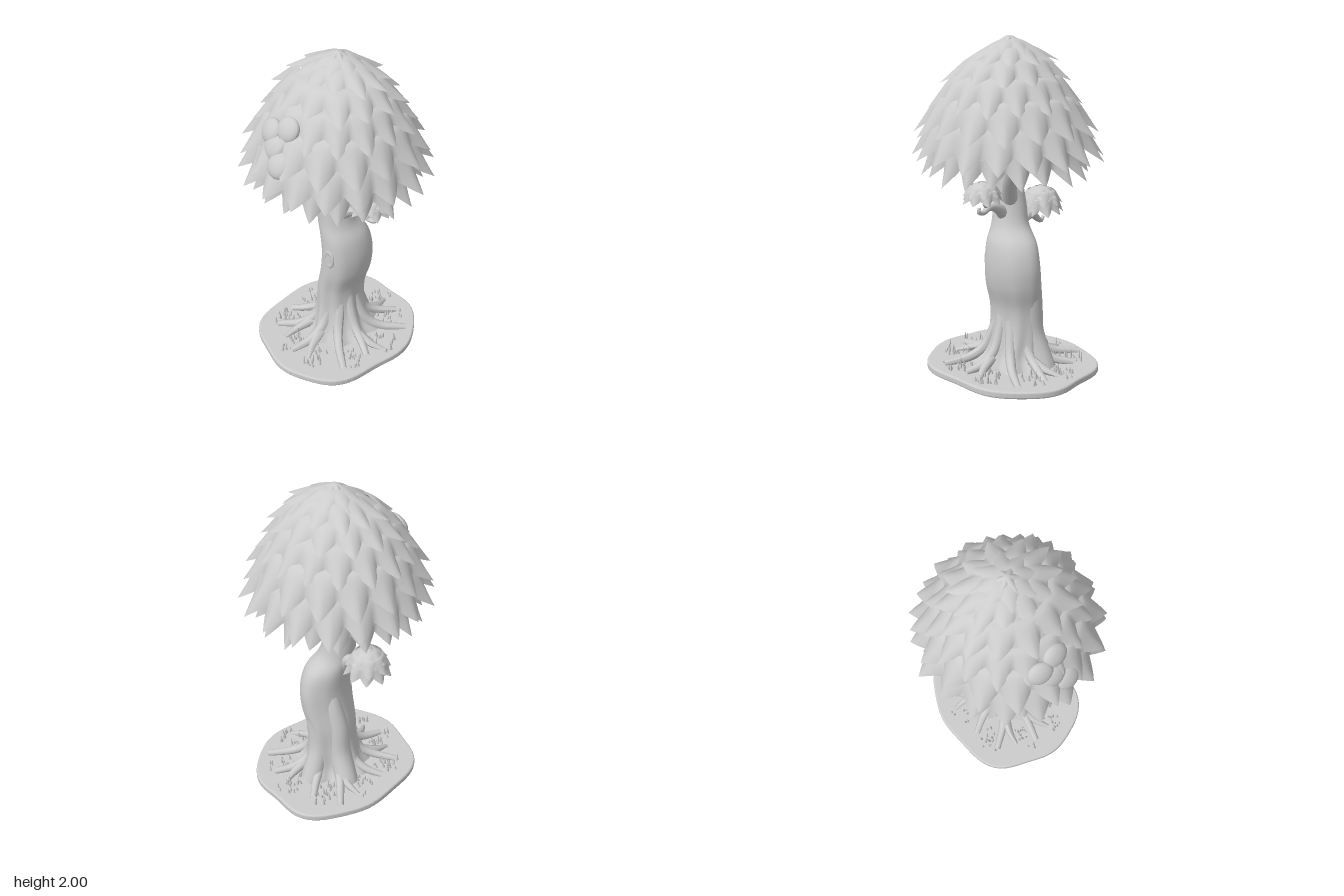
import * as THREE from 'three';

const material = new THREE.MeshStandardMaterial({ color: 0xcccccc, side: THREE.DoubleSide });
const V = (x, y, z) => new THREE.Vector3(x, y, z);
const mix = THREE.MathUtils.lerp;

function random(seed) {
  return () => {
    seed = (seed * 16807) % 2147483647;
    return seed / 2147483647;
  };
}

function mesh(name, geometry, parent) {
  const m = new THREE.Mesh(geometry, material);
  m.name = name;
  parent.add(m);
  return m;
}

// Closed ring surface: point(angle, t) with t running from bottom to top
function loft(cols, rows, point) {
  const pos = [], index = [];
  for (let j = 0; j <= rows; j++)
    for (let i = 0; i < cols; i++) pos.push(...point((i / cols) * Math.PI * 2, j / rows));
  for (let j = 0; j < rows; j++)
    for (let i = 0; i < cols; i++) {
      const a = j * cols + i, b = j * cols + ((i + 1) % cols);
      index.push(a, b, b + cols, a, b + cols, a + cols);
    }
  const g = new THREE.BufferGeometry();
  g.setAttribute('position', new THREE.Float32BufferAttribute(pos, 3));
  g.setIndex(index);
  g.computeVertexNormals();
  return g;
}

// Tube along a smooth path whose radius runs from r0 to r1
function limb(points, r0, r1, segments = 24, sides = 12) {
  const curve = new THREE.CatmullRomCurve3(points);
  const g = new THREE.TubeGeometry(curve, segments, 1, sides);
  const p = g.attributes.position, v = V(0, 0, 0);
  for (let i = 0; i < p.count; i++) {
    const t = Math.floor(i / (sides + 1)) / segments;
    const c = curve.getPointAt(t);
    v.fromBufferAttribute(p, i).sub(c).multiplyScalar(mix(r0, r1, t)).add(c);
    p.setXYZ(i, v.x, v.y, v.z);
  }
  g.computeVertexNormals();
  return g;
}

// One skirt of broad pointed leaves whose tips flick outward
function leafTier({ n, top, hem, zs = 1, dz = 0, off = 0, flare, seed }) {
  const rnd = random(seed * 7919 + 13);
  const jitter = Array.from({ length: n }, () => rnd() - 0.5);
  return loft(n * 10, 10, (a, t) => {
    const v = 1 - t;
    const f = (a / (Math.PI * 2)) * n;
    const leaf = Math.floor(f + 1e-6) % n;
    const k = Math.max(0, 1 - Math.abs(2 * (f - Math.floor(f + 1e-6)) - 1));
    const s = v * (0.7 + 0.3 * k * (1 + 0.3 * jitter[leaf]));
    const r = mix(top[0], hem[0] - flare, Math.pow(s, 0.65))
      + flare * Math.pow(k, 1.4) * v * v * (1 + 0.5 * jitter[leaf]) - flare * 0.3 * (1 - k) ** 2 * v;
    const y = mix(top[1], hem[1], Math.pow(s, 1.25));
    const b = a + off + jitter[leaf] * k * v * 0.8 / n;
    return [Math.sin(b) * r, y, Math.cos(b) * r * zs + dz];
  });
}

function buildCanopy() {
  const g = new THREE.Group();
  g.name = 'canopy';
  // leaves, top radius and height, hem radius and height, depth scale and shift
  const tiers = [
    [20, 0.43, 1.45, 0.505, 1.21, 0.97, 0],
    [18, 0.40, 1.54, 0.56, 1.305, 1.01, 0],
    [16, 0.36, 1.67, 0.53, 1.45, 1.0, 0],
    [16, 0.29, 1.78, 0.465, 1.595, 0.96, 0],
    [13, 0.21, 1.88, 0.40, 1.745, 0.88, -0.01],
    [11, 0.10, 1.945, 0.315, 1.85, 0.82, -0.03],
    [8, 0.03, 1.98, 0.2, 1.91, 0.86, -0.03],
    [6, 0.0, 2.0, 0.1, 1.955, 0.9, -0.02],
  ];
  tiers.forEach(([n, rt, yt, rh, yh, zs, dz], i) =>
    mesh('leafTier', leafTier({
      n, top: [rt, yt], hem: [rh, yh], zs, dz, off: (i % 2) * Math.PI / n, flare: i < 6 ? 0.055 : 0.035, seed: i + 1,
    }), g));
  // Inner dome closing the canopy
  const dome = [[0.445, 1.36], [0.425, 1.46], [0.375, 1.6], [0.295, 1.73], [0.195, 1.84], [0.1, 1.91], [0, 1.935]];
  mesh('innerDome', new THREE.LatheGeometry(
    new THREE.SplineCurve(dome.map(p => new THREE.Vector2(...p))).getPoints(20), 48), g).scale.z = 0.92;
  // Rounded loose leaves on the front
  [[-0.1, 1.64, 0.385], [0.01, 1.68, 0.365], [-0.04, 1.58, 0.42], [0.03, 1.51, 0.46]]
    .forEach(([x, y, z], i) => {
      const leaf = mesh('roundLeaf', new THREE.SphereGeometry(0.075, 16, 12), g);
      leaf.position.set(x, y, z);
      leaf.scale.set(1, 0.95, 0.45);
      leaf.rotation.set(-0.5, x * 2, i * 0.5);
    });
  return g;
}

// Small clump of leaves on a side branch
function buildClump(name, x, y, z, r, h) {
  const g = new THREE.Group();
  g.name = name;
  [[9, 0.75, 0.6, 1.0, 0.02], [8, 0.55, 0.86, 0.98, 0.32], [7, 0.2, 0.98, 0.82, 0.62], [5, 0, 1, 0.5, 0.86]]
    .forEach(([n, rt, yt, rh, yh], i) =>
      mesh('clumpTier', leafTier({
        n, top: [rt * r, yt * h], hem: [rh * r, yh * h], off: i * 0.4, flare: r * 0.14, seed: i + 20,
      }), g));
  const core = mesh('clumpCore', new THREE.SphereGeometry(1, 16, 10), g);
  core.scale.set(r * 0.78, h * 0.42, r * 0.78);
  core.position.y = h * 0.5;
  g.position.set(x, y, z);
  return g;
}

function buildTrunk() {
  const g = new THREE.Group();
  g.name = 'trunk';
  // centre x, height, centre z, half width, half depth
  const rows = [
    [0, 0.03, -0.05, 0.23, 0.24], [-0.01, 0.12, -0.05, 0.172, 0.185], [-0.015, 0.25, -0.06, 0.135, 0.168],
    [-0.01, 0.4, -0.065, 0.125, 0.168], [0.025, 0.55, -0.07, 0.13, 0.178], [0.035, 0.68, -0.07, 0.13, 0.176],
    [0.02, 0.8, -0.055, 0.125, 0.158], [-0.012, 0.9, -0.022, 0.106, 0.115], [-0.025, 1.02, -0.01, 0.094, 0.1],
    [-0.018, 1.2, 0, 0.084, 0.08], [0, 1.4, 0, 0.07, 0.07], [0, 1.7, 0, 0.04, 0.04],
  ];
  const centre = new THREE.CatmullRomCurve3(rows.map(r => V(r[0], r[1], r[2])));
  const size = new THREE.CatmullRomCurve3(rows.map(r => V(r[3], r[1], r[4])));
  mesh('trunkBody', loft(72, 70, (a, t) => {
    const c = centre.getPoint(t), s = size.getPoint(t);
    const ridge = 1 + 0.14 * Math.exp(-c.y / 0.18) * Math.cos(9 * a)
      + 0.025 * Math.cos(5 * a + c.y * 4) * Math.max(0, 1.2 - c.y);
    return [c.x + Math.sin(a) * s.x * ridge, c.y, c.z + Math.cos(a) * s.z * ridge];
  }), g);
  // Buttresses climbing the right side and the back
  mesh('buttress', limb([V(-0.2, 0.03, -0.12), V(-0.125, 0.22, -0.1), V(-0.105, 0.42, -0.1),
    V(-0.06, 0.58, -0.11), V(0, 0.74, -0.1)], 0.075, 0.05), g);
  mesh('buttress', limb([V(-0.03, 0.03, -0.26), V(-0.02, 0.25, -0.185), V(0.01, 0.5, -0.18),
    V(0.03, 0.72, -0.15), V(0.02, 0.86, -0.06)], 0.07, 0.05), g);
  // Shallow knot on the front
  const knot = mesh('knot', new THREE.TorusGeometry(0.035, 0.014, 10, 24), g);
  knot.position.set(0.04, 0.68, 0.097);
  knot.scale.set(0.85, 1.4, 0.7);
  // Spreading roots that emerge from inside the trunk
  for (let i = 0; i < 9; i++) {
    const a = (i / 9) * Math.PI * 2, len = 0.38 + 0.04 * Math.sin(i * 2.4);
    const at = (r, y, turn) => V(Math.sin(a + turn) * r, y, Math.cos(a + turn) * r * 1.05 - 0.045);
    const bend = i % 2 ? 0.14 : -0.12;
    mesh('root', limb([at(0.05, 0.46, 0), at(0.1, 0.26, 0), at(0.165, 0.13, 0), at(0.25, 0.075, bend * 0.4),
      at(len, 0.048, bend)], 0.045, 0.02, 24, 10), g);
    if (i % 2 === 0)
      mesh('rootFork', limb([at(0.18, 0.1, 0), at(0.28, 0.065, 0.12), at(0.36, 0.042, 0.22)], 0.036, 0.012, 12, 8), g);
  }
  return g;
}

function buildBranches() {
  const g = new THREE.Group();
  g.name = 'branches';
  const list = [
    // right side branch with curled tip and twigs
    [[V(-0.05, 0.8, -0.03), V(-0.13, 0.91, -0.04), V(-0.2, 0.92, -0.05), V(-0.26, 0.88, -0.05),
      V(-0.305, 0.858, -0.05), V(-0.325, 0.88, -0.05)], 0.05, 0.01],
    [[V(-0.2, 0.92, -0.05), V(-0.25, 0.93, -0.05), V(-0.29, 0.98, -0.05)], 0.02, 0.012],
    [[V(-0.25, 0.89, -0.05), V(-0.28, 0.91, -0.02), V(-0.3, 0.98, -0.02)], 0.015, 0.01],
    // left side branch with curled tip and twigs
    [[V(0.02, 0.94, -0.01), V(0.1, 1.01, -0.02), V(0.19, 1.04, -0.02), V(0.255, 1.02, -0.02),
      V(0.295, 1.03, -0.02), V(0.29, 1.055, -0.02)], 0.042, 0.009],
    [[V(0.18, 1.04, -0.02), V(0.23, 1.06, -0.02), V(0.26, 1.13, -0.02)], 0.018, 0.011],
    // limbs holding up the canopy
    [[V(-0.02, 1.0, -0.02), V(0.08, 1.14, -0.08), V(0.16, 1.27, -0.15), V(0.25, 1.55, -0.22)], 0.05, 0.025],
    [[V(-0.02, 0.98, 0.01), V(-0.01, 1.15, 0.07), V(0, 1.27, 0.14), V(0.03, 1.6, 0.26)], 0.045, 0.025],
    [[V(-0.02, 1.12, 0), V(-0.08, 1.26, 0.05), V(-0.18, 1.35, 0.13), V(-0.32, 1.55, 0.18)], 0.045, 0.02],
    [[V(-0.02, 1.15, 0), V(-0.05, 1.28, -0.09), V(-0.12, 1.4, -0.18), V(-0.2, 1.6, -0.25)], 0.04, 0.02],
  ];
  list.forEach(([p, r0, r1]) => mesh('branch', limb(p, r0, r1), g));
  return g;
}

function buildGround() {
  const g = new THREE.Group();
  g.name = 'ground';
  const outline = [];
  for (let i = 0; i < 90; i++) {
    const a = (i / 90) * Math.PI * 2;
    const w = 0.97 - 0.035 * Math.cos(4 * a + 0.5) + 0.02 * Math.sin(7 * a);
    outline.push(new THREE.Vector2(Math.cos(a) * 0.46 * w - 0.01, Math.sin(a) * 0.525 * w + 0.033));
  }
  const slab = new THREE.ExtrudeGeometry(new THREE.Shape(outline), {
    depth: 0.02, bevelThickness: 0.012, bevelSize: 0.012, bevelSegments: 4,
  });
  slab.rotateX(-Math.PI / 2).translate(0, 0.012, 0);
  mesh('groundSlab', slab, g);
  // Grass blades in tufts between the roots
  const rnd = random(77);
  for (let i = 0; i < 150; i++) {
    const a = (Math.floor(rnd() * 9) + 0.3 + rnd() * 0.45) / 9 * Math.PI * 2;
    const r = 0.24 + rnd() * 0.16, h = 0.025 + rnd() * rnd() * 0.06;
    const blade = mesh('grassBlade', new THREE.ConeGeometry(0.009, h, 6), g);
    blade.position.set(Math.sin(a) * r, 0.042 + h / 2, Math.cos(a) * r * 1.12 - 0.035);
    blade.rotation.set((rnd() - 0.5) * 0.4, 0, (rnd() - 0.5) * 0.4);
  }
  return g;
}

export function createModel() {
  const tree = new THREE.Group();
  tree.name = 'tree';
  tree.add(buildGround(), buildTrunk(), buildBranches(), buildCanopy(),
    buildClump('rightClump', -0.295, 0.91, -0.05, 0.14, 0.17),
    buildClump('leftClump', 0.26, 1.08, -0.02, 0.12, 0.12));
  return tree;
}
